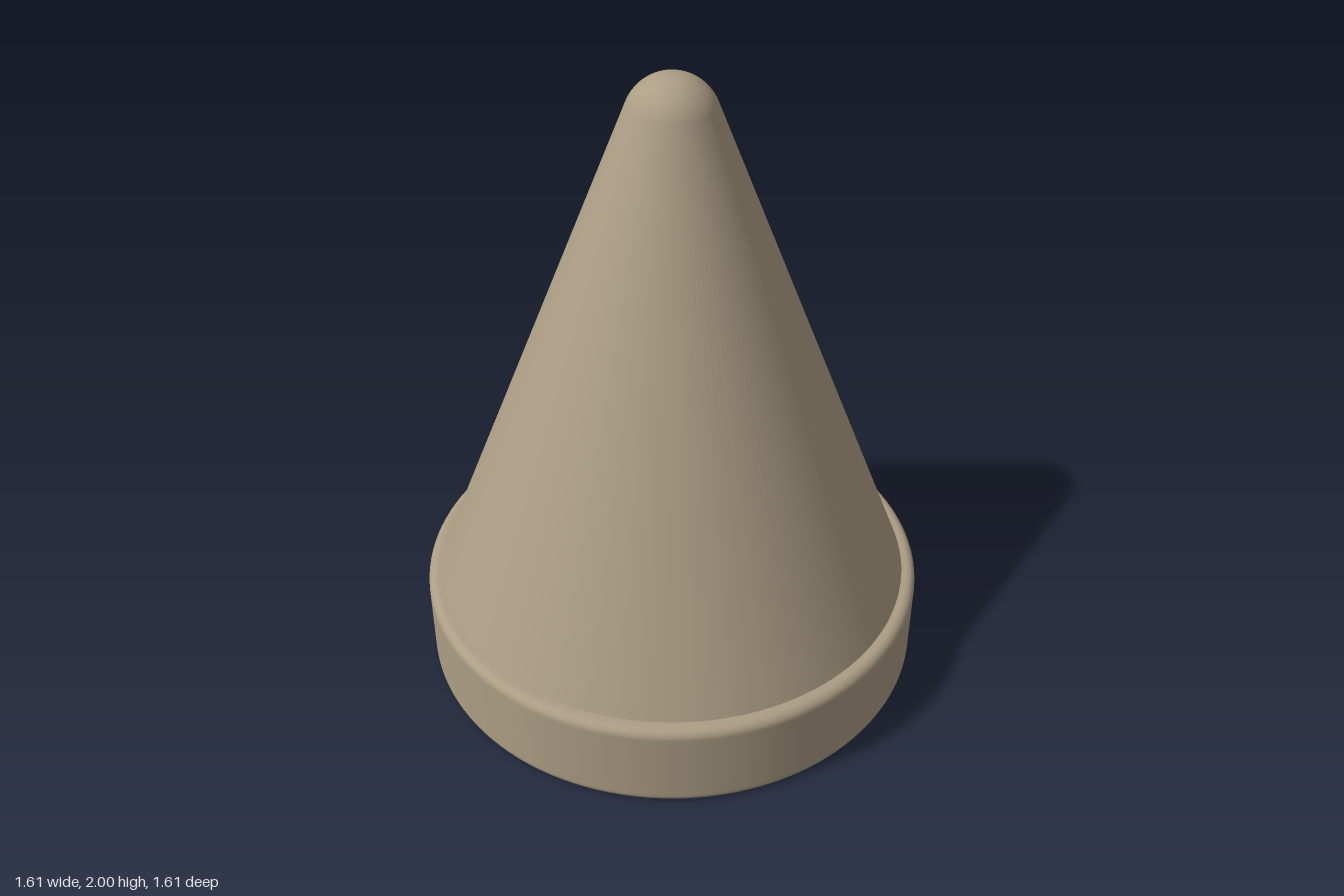
import * as THREE from 'three';

const SEGMENTS = 128;

// Points along a circular arc in the (radius, height) plane, angles in degrees
function arc(cx, cy, r, from, to, steps) {
  return Array.from({ length: steps + 1 }, (_, i) => {
    const a = THREE.MathUtils.degToRad(from + (to - from) * i / steps);
    return new THREE.Vector2(Math.max(0, cx + r * Math.cos(a)), cy + r * Math.sin(a));
  });
}

function turned(name, points, material) {
  const mesh = new THREE.Mesh(new THREE.LatheGeometry(points, SEGMENTS), material);
  mesh.name = name;
  return mesh;
}

export function createModel() {
  const group = new THREE.Group();
  group.name = 'roundedCone';
  const clay = new THREE.MeshStandardMaterial({ color: 0xac9d84 });
  clay.name = 'warm taupe';
  const p = (x, y) => new THREE.Vector2(x, y);

  // Base disc with rounded upper and lower edges
  const R = 0.807, H = 0.3, b = 0.03;
  group.add(turned('base', [
    p(0, 0), p(R - b - 0.01, 0),
    ...arc(R - b, b, b, -90, 0, 8),
    p(R, b + 0.01), p(R, H - b - 0.01),
    ...arc(R - b, H - b, b, 0, 90, 8),
    p(R - b - 0.01, H), p(0, H),
  ], clay));

  // Cone side running tangent into a spherical tip
  const tip = 0.14, slope = 21.4;
  const cap = arc(0, 2 - tip, tip, slope, 90, 16);
  const start = cap[0];
  const bottom = 0.29;
  const foot = start.x + (start.y - bottom) * Math.tan(THREE.MathUtils.degToRad(slope));
  group.add(turned('cone', [p(foot, bottom), ...cap], clay));

  return group;
}
